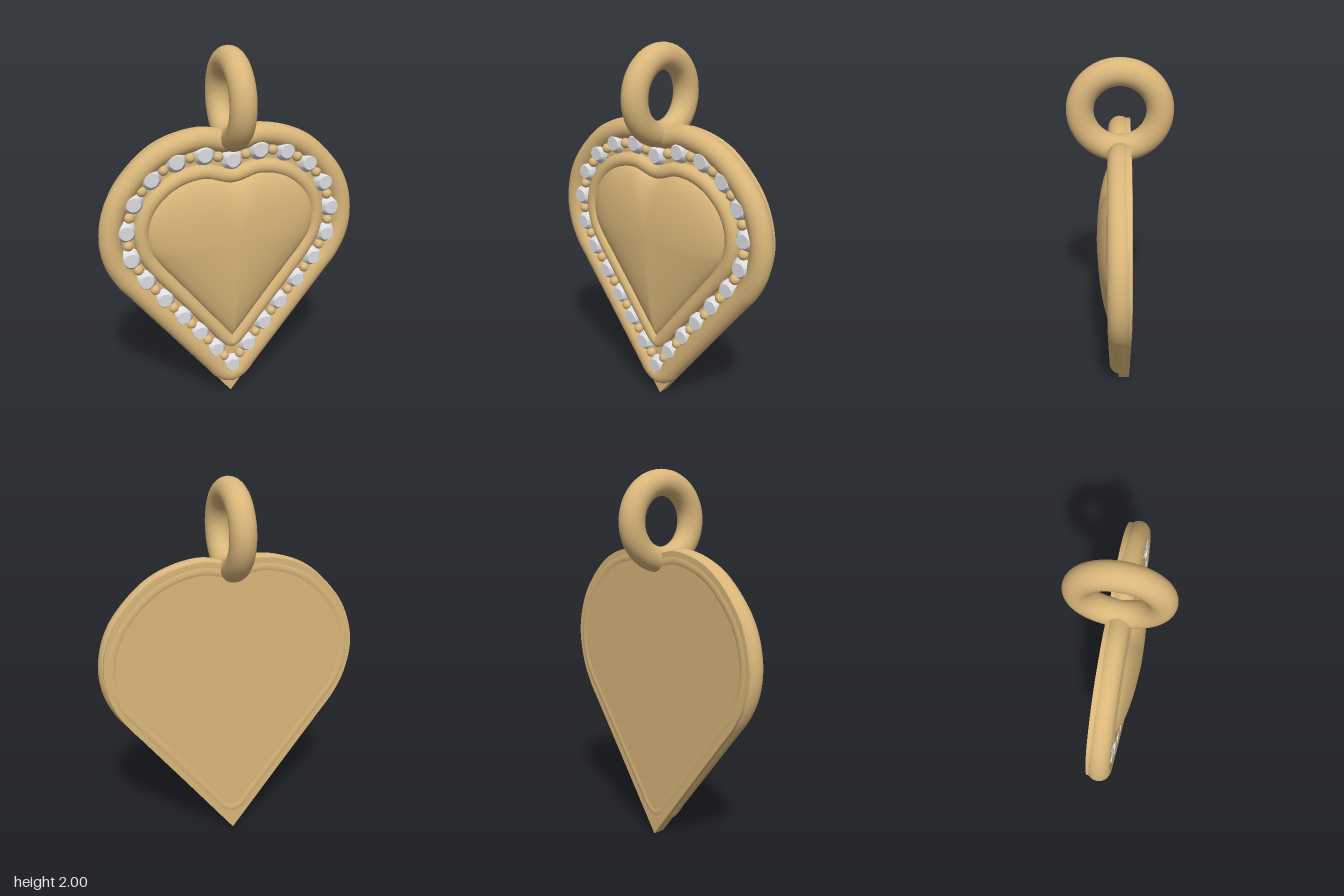
import * as THREE from 'three';
import { toCreasedNormals } from 'three/addons/utils/BufferGeometryUtils.js';

const gold = new THREE.MeshStandardMaterial({ color: 0xd9b67a });
gold.name = 'gold';
const crystal = new THREE.MeshStandardMaterial({ color: 0xdcdce0 });
crystal.name = 'crystal';

// Right halves of the heart outlines, from the bottom tip up to the top notch
const PLATE = [[0, 0], [0.1, 0.128], [0.3, 0.385], [0.5, 0.64], [0.6, 0.77], [0.66, 0.89], [0.692, 1.07],
  [0.655, 1.24], [0.58, 1.37], [0.4, 1.53], [0.17, 1.593], [0, 1.57]];
const RIM = [[0, 0.13], [0.053, 0.157], [0.1, 0.217], [0.32, 0.495], [0.52, 0.747], [0.583, 0.827], [0.635, 0.94],
  [0.65, 1.065], [0.62, 1.21], [0.55, 1.33], [0.385, 1.48], [0.17, 1.545], [0, 1.52]];
const INNER = [[0, 0.35], [0.035, 0.378], [0.08, 0.435], [0.23, 0.625], [0.37, 0.8], [0.42, 0.865], [0.475, 0.965],
  [0.49, 1.09], [0.455, 1.2], [0.38, 1.29], [0.28, 1.35], [0.15, 1.373], [0, 1.34]];
const DOME = [[0, 0.385], [0.06, 0.46], [0.2, 0.64], [0.34, 0.815], [0.4, 0.89], [0.455, 0.98],
  [0.47, 1.09], [0.44, 1.19], [0.365, 1.28], [0.27, 1.335], [0.15, 1.355], [0, 1.315]];
const STONES = [[0, 0.2], [0.095, 0.32], [0.19, 0.445], [0.285, 0.56], [0.385, 0.685], [0.48, 0.81], [0.555, 0.945],
  [0.573, 1.1], [0.53, 1.25], [0.433, 1.37], [0.3, 1.448], [0.15, 1.47], [0, 1.43]];

// Mirror a half outline into a full counterclockwise loop
function mirrored(half, z = 0) {
  const left = half.slice(1, -1).reverse().map(([x, y]) => [-x, y]);
  return [...half, ...left].map(([x, y]) => new THREE.Vector3(x, y, z));
}

// Outline samples that keep the bottom tip sharp
function sharpOutline(half, n) {
  const pts = mirrored(half);
  return new THREE.CatmullRomCurve3([...pts, pts[0].clone()], false, 'centripetal').getSpacedPoints(n);
}

function add(parent, name, geometry, material) {
  const mesh = new THREE.Mesh(geometry, material);
  mesh.name = name;
  parent.add(mesh);
  return mesh;
}

function heartTube(half, radius, z) {
  const curve = new THREE.CatmullRomCurve3(mirrored(half, z), true, 'centripetal');
  return new THREE.TubeGeometry(curve, 200, radius, 20, true);
}

// Domed heart: outline rings shrinking to a centre while rising in an elliptical arc
function domeGeometry() {
  const n = 144, rings = 20, cy = 1.0;
  const outline = sharpOutline(DOME, n);
  const pos = [], index = [];
  for (let r = 0; r <= rings; r++) {
    const a = (r / rings) * Math.PI / 2;
    const s = Math.cos(a), z = 0.025 + 0.1 * Math.sin(a);
    for (let i = 0; i < n; i++) pos.push(outline[i].x * s, cy + (outline[i].y - cy) * s, z);
  }
  for (let r = 0; r < rings; r++) {
    for (let i = 0; i < n; i++) {
      const a = r * n + i, b = r * n + (i + 1) % n, c = a + n, d = b + n;
      index.push(a, b, d);
      if (r < rings - 1) index.push(a, d, c);
      else index.push(a, d, c);
    }
  }
  const g = new THREE.BufferGeometry();
  g.setAttribute('position', new THREE.Float32BufferAttribute(pos, 3));
  g.setIndex(index);
  g.computeVertexNormals();
  // the last ring meets at one point, so it faces straight forward
  for (let i = 0; i < n; i++) g.attributes.normal.setXYZ(rings * n + i, 0, 0, 1);
  return g;
}

export function createModel() {
  const model = new THREE.Group();
  model.name = 'heartPendant';

  // Flat backing with a pointed tip
  const shape = new THREE.Shape(sharpOutline(PLATE, 160).slice(0, -1).map(p => new THREE.Vector2(p.x, p.y)));
  const plate = new THREE.ExtrudeGeometry(shape, { depth: 0.065, bevelEnabled: false });
  plate.translate(0, 0, -0.055);
  add(model, 'backPlate', toCreasedNormals(plate, 0.6), gold);

  // Rounded borders and the raised centre
  add(model, 'outerRim', heartTube(RIM, 0.06, 0.002), gold);
  add(model, 'innerRim', heartTube(INNER, 0.042, 0.018), gold);
  add(model, 'centreDome', domeGeometry(), gold);

  // Hanging loop
  const loop = new THREE.TorusGeometry(0.197, 0.068, 24, 72);
  loop.rotateY(Math.PI / 2);
  add(model, 'hangingLoop', loop, gold).position.set(0, 1.735, 0);

  // Cut stones with a gold bead between each pair
  const stones = new THREE.Group(), beads = new THREE.Group();
  stones.name = 'stones';
  beads.name = 'beads';
  model.add(stones, beads);
  const profile = [[0.05, 0], [0.06, 0.018], [0.037, 0.05], [0, 0.05]].map(p => new THREE.Vector2(...p));
  const stoneGeo = toCreasedNormals(new THREE.LatheGeometry(profile, 24).rotateX(Math.PI / 2), 0.5);
  const beadGeo = new THREE.SphereGeometry(0.028, 16, 12);
  const path = mirrored(STONES);
  path.forEach((p, i) => {
    const next = path[(i + 1) % path.length];
    add(stones, 'stone', stoneGeo, crystal).position.set(p.x, p.y, 0.008);
    add(beads, 'bead', beadGeo, gold).position.set((p.x + next.x) / 2, (p.y + next.y) / 2, 0.03);
  });

  return model;
}
